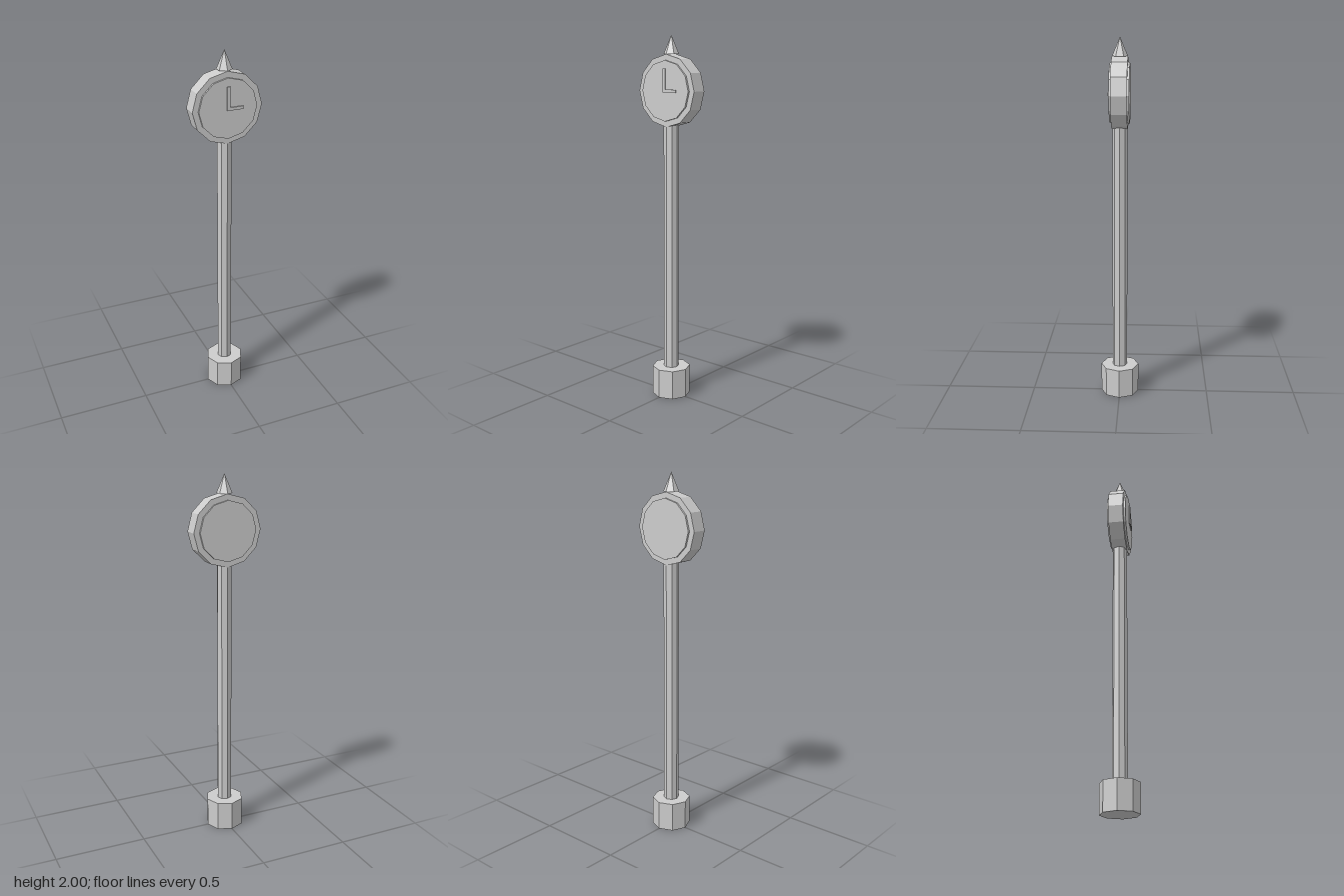
import * as THREE from 'three';

export function createModel() {
  const group = new THREE.Group();
  const grey = new THREE.MeshStandardMaterial({ color: 0xcccccc, flatShading: true });
  grey.name = 'light grey';

  const HEAD_Y = 1.709;

  const add = (name, geometry, x, y, z) => {
    const mesh = new THREE.Mesh(geometry, grey);
    mesh.name = name;
    mesh.position.set(x, y, z);
    group.add(mesh);
    return mesh;
  };
  // Upright prism between two heights
  const prism = (name, radius, bottom, top, sides) =>
    add(name, new THREE.CylinderGeometry(radius, radius, top - bottom, sides), 0, (bottom + top) / 2, 0);
  // Twelve-sided disc facing front and back
  const disc = (name, radius, depth) =>
    add(name, new THREE.CylinderGeometry(radius, radius, depth, 12).rotateX(Math.PI / 2), 0, HEAD_Y, 0);

  // Foot and post
  prism('base', 0.106, 0, 0.163, 8);
  prism('post', 0.041, 0.163, 1.6, 8);

  // Clock head: case with a raised dial on both sides
  disc('clockCase', 0.191, 0.085);
  disc('clockDials', 0.16, 0.106);

  // Hands on the front dial
  add('minuteHand', new THREE.BoxGeometry(0.016, 0.124, 0.006), 0, 1.763, 0.058);
  add('hourHand', new THREE.BoxGeometry(0.072, 0.016, 0.006), 0.044, 1.709, 0.058);

  // Pointed finial
  add('finial', new THREE.ConeGeometry(0.042, 0.1, 6), 0, 1.95, 0);

  return group;
}
